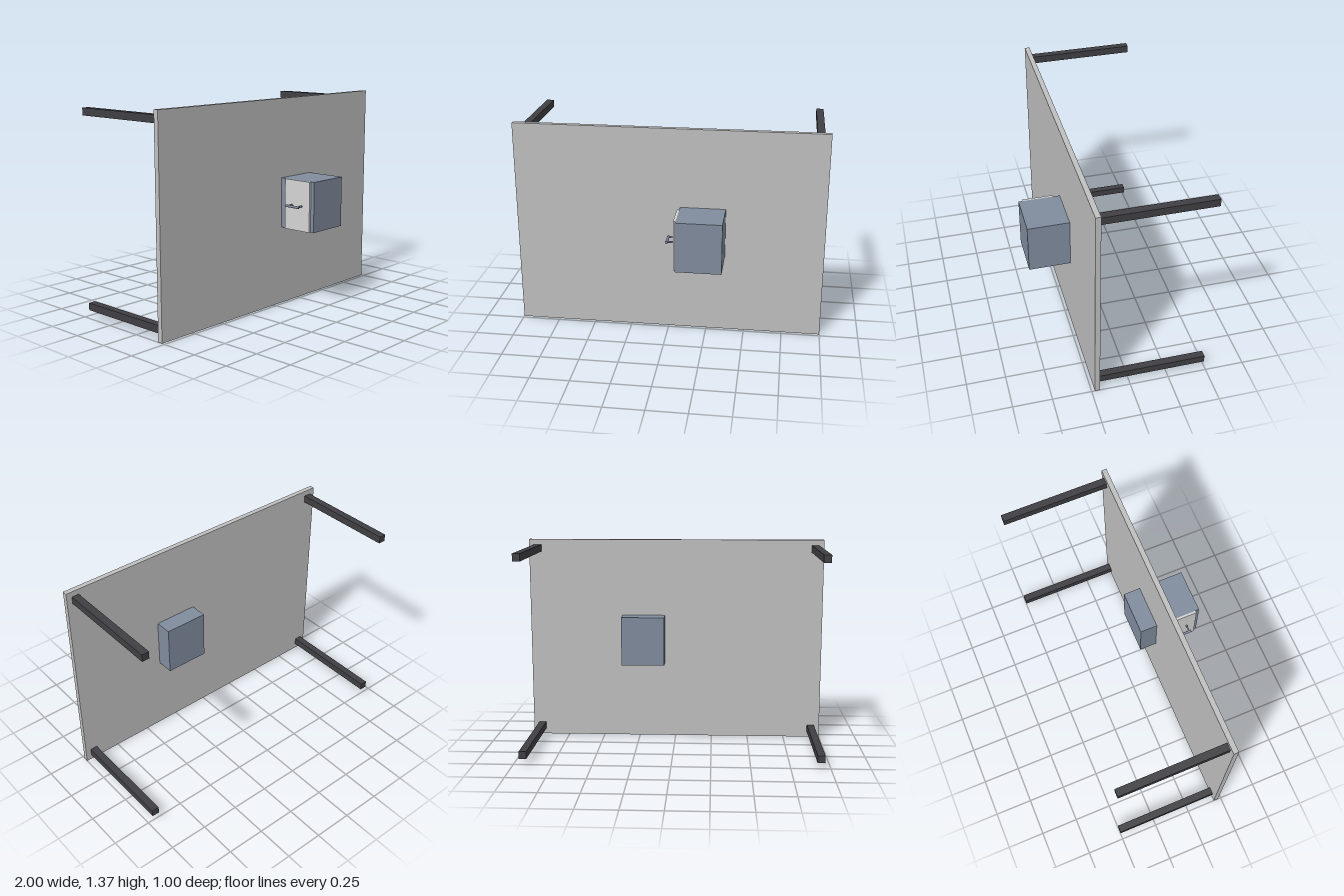
import * as THREE from 'three';

const material = (name, color) => {
  const m = new THREE.MeshStandardMaterial({ color });
  m.name = name;
  return m;
};

export function createModel() {
  const group = new THREE.Group();
  const panelGrey = material('panel grey', 0xc0c0c0);
  const legCharcoal = material('leg charcoal', 0x404044);
  const cabinetBlue = material('cabinet slate blue', 0x808c9e);
  const frontGrey = material('drawer front light grey', 0xd4d4d4);

  const add = (name, geometry, mat) => {
    const mesh = new THREE.Mesh(geometry, mat);
    mesh.name = name;
    group.add(mesh);
    return mesh;
  };

  // Box given by its two extreme corners
  const box = (name, mat, [x0, y0, z0], [x1, y1, z1]) =>
    add(name, new THREE.BoxGeometry(x1 - x0, y1 - y0, z1 - z0), mat)
      .position.set((x0 + x1) / 2, (y0 + y1) / 2, (z0 + z1) / 2);

  // Upright table top
  box('tableTop', panelGrey, [-1, 0, 0.197], [1, 1.37, 0.23]);

  // Four square legs pointing backwards
  for (const x of [-0.94, 0.94]) {
    for (const y of [0.061, 1.311]) {
      box('leg', legCharcoal, [x - 0.024, y - 0.024, -0.5], [x + 0.024, y + 0.024, 0.197]);
    }
  }

  // Cabinet passing through the top, with a drawer front on its right side
  box('cabinet', cabinetBlue, [0.074, 0.522, 0.083], [0.366, 0.852, 0.5]);
  box('drawerFront', frontGrey, [0.059, 0.522, 0.273], [0.074, 0.852, 0.475]);

  // Bar handle on two posts
  const y = 0.687;
  const bar = add('handleBar', new THREE.CylinderGeometry(0.008, 0.008, 0.105, 16), cabinetBlue);
  bar.rotation.x = Math.PI / 2;
  bar.position.set(0.011, y, 0.373);
  for (const z of [0.334, 0.412]) {
    const post = add('handlePost', new THREE.CylinderGeometry(0.006, 0.006, 0.048, 12), cabinetBlue);
    post.rotation.z = Math.PI / 2;
    post.position.set(0.035, y, z);
  }

  return group;
}
